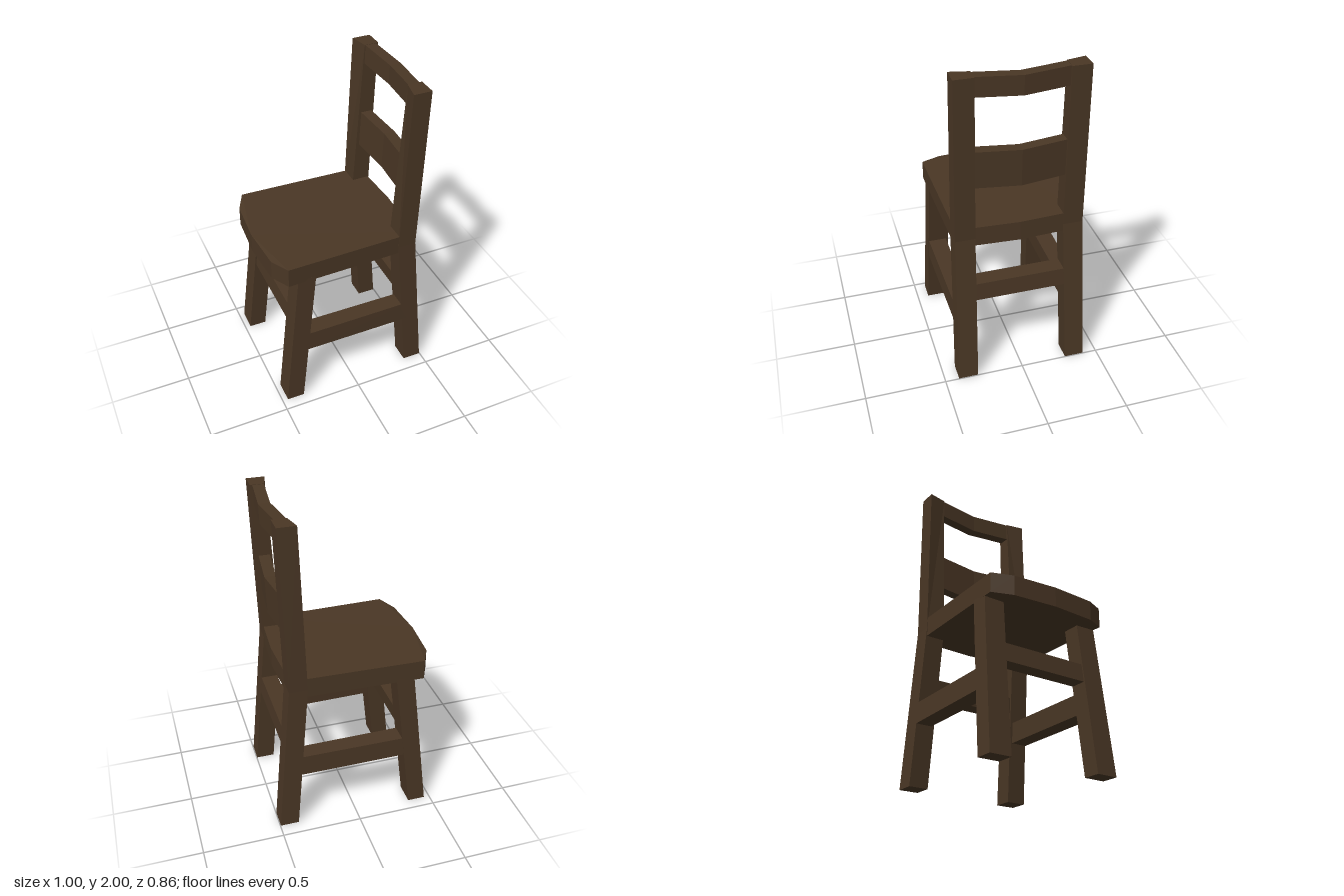
import * as THREE from 'three';

// Closed solid through matching rings of points, wound to face outward
function loft(rings) {
  const tris = [];
  const n = rings[0].length;
  const last = rings[rings.length - 1];
  for (let r = 0; r + 1 < rings.length; r++) {
    const a = rings[r], b = rings[r + 1];
    for (let i = 0; i < n; i++) {
      const j = (i + 1) % n;
      tris.push([a[i], a[j], b[j]], [a[i], b[j], b[i]]);
    }
  }
  for (let i = 1; i + 1 < n; i++) {
    tris.push([rings[0][0], rings[0][i + 1], rings[0][i]], [last[0], last[i], last[i + 1]]);
  }
  let volume = 0;
  const v = (p) => new THREE.Vector3(...p);
  for (const [a, b, c] of tris) volume += v(a).dot(v(b).cross(v(c)));
  if (volume < 0) tris.forEach((t) => t.reverse());
  const geo = new THREE.BufferGeometry();
  geo.setAttribute('position', new THREE.Float32BufferAttribute(tris.flat(2), 3));
  geo.computeVertexNormals();
  return geo;
}

// Horizontal four-sided section; skew pushes the inner front corner back
const level = (y, x0, x1, z0, z1, s, skew = 0) =>
  [[x0 + skew, y, s * z0], [x1, y, s * z0], [x1, y, s * z1], [x0, y, s * z1]];
// Section across z, leaning by the x offset between its bottom and top
const acrossZ = (z, x0, x1, y0, y1, lean = 0) =>
  [[x0, y0, z], [x1, y0, z], [x1 + lean, y1, z], [x0 + lean, y1, z]];
// Section across x, leaning by the z offset between its bottom and top
const acrossX = (x, z0, z1, y0, y1, s, lean = 0) =>
  [[x, y0, s * z0], [x, y0, s * z1], [x, y1, s * (z1 + lean)], [x, y1, s * (z0 + lean)]];

export function createModel() {
  const chair = new THREE.Group();
  chair.name = 'chair';
  const wood = new THREE.MeshStandardMaterial({ color: 0x4a3725 });
  wood.name = 'dark brown wood';
  wood.flatShading = true;
  const add = (name, rings) => {
    const mesh = new THREE.Mesh(loft(rings), wood);
    mesh.name = name;
    chair.add(mesh);
  };

  // Seat with a bowed front edge (toward -x) and a slightly bowed back
  const half = [[-0.48, 0.28], [-0.42, 0.403], [0.3, 0.386], [0.4, 0.375], [0.405, 0.27]];
  const outline = [[-0.5, 0], ...half, [0.42, 0], ...half.map(([x, z]) => [x, -z]).reverse()];
  const seatLevel = (y) => outline.map(([x, z]) => [x, y - (x < -0.45 ? 0.009 : 0), z]);
  add('seat', [seatLevel(0.932), seatLevel(1.055)]);

  for (const s of [1, -1]) {
    const side = s > 0 ? 'left' : 'right';
    // Back leg and post in one bent piece
    add(side + 'BackPost', [
      level(0, 0.38, 0.497, 0.29, 0.413, s),
      level(0.98, 0.295, 0.408, 0.268, 0.39, s),
      level(2, 0.33, 0.442, 0.265, 0.381, s, 0.025),
    ]);
    // Splayed front leg
    add(side + 'FrontLeg', [
      level(0, -0.465, -0.355, 0.292, 0.428, s),
      level(0.95, -0.36, -0.248, 0.27, 0.4, s),
    ]);
    // Low rail joining front and back legs
    add(side + 'SideRail', [
      acrossX(-0.35, 0.3, 0.415, 0.383, 0.51, s, -0.004),
      acrossX(0.4, 0.3, 0.404, 0.372, 0.504, s, -0.004),
    ]);
  }

  // Cross rails between the leg pairs
  add('backRail', [-0.32, 0.32].map((z) => acrossZ(z, 0.342, 0.446, 0.558, 0.67, -0.01)));
  add('frontRail', [-0.32, 0.32].map((z) => acrossZ(z, -0.395, -0.295, 0.558, 0.67, 0.012)));

  // Curved back slats, dipping and bowing backward at the middle
  const slat = (name, y0, y1, x0, x1, lean) => add(name, [-0.29, 0, 0.29].map((z) => {
    const bow = z === 0 ? 0.027 : 0;
    const dip = z === 0 ? 0.012 : 0;
    return acrossZ(z, x0 + bow, x1 + bow, y0 - dip, y1 - dip, lean);
  }));
  slat('topSlat', 1.882, 1.999, 0.354, 0.422, 0.003);
  slat('middleSlat', 1.32, 1.552, 0.333, 0.402, 0.009);

  return chair;
}
